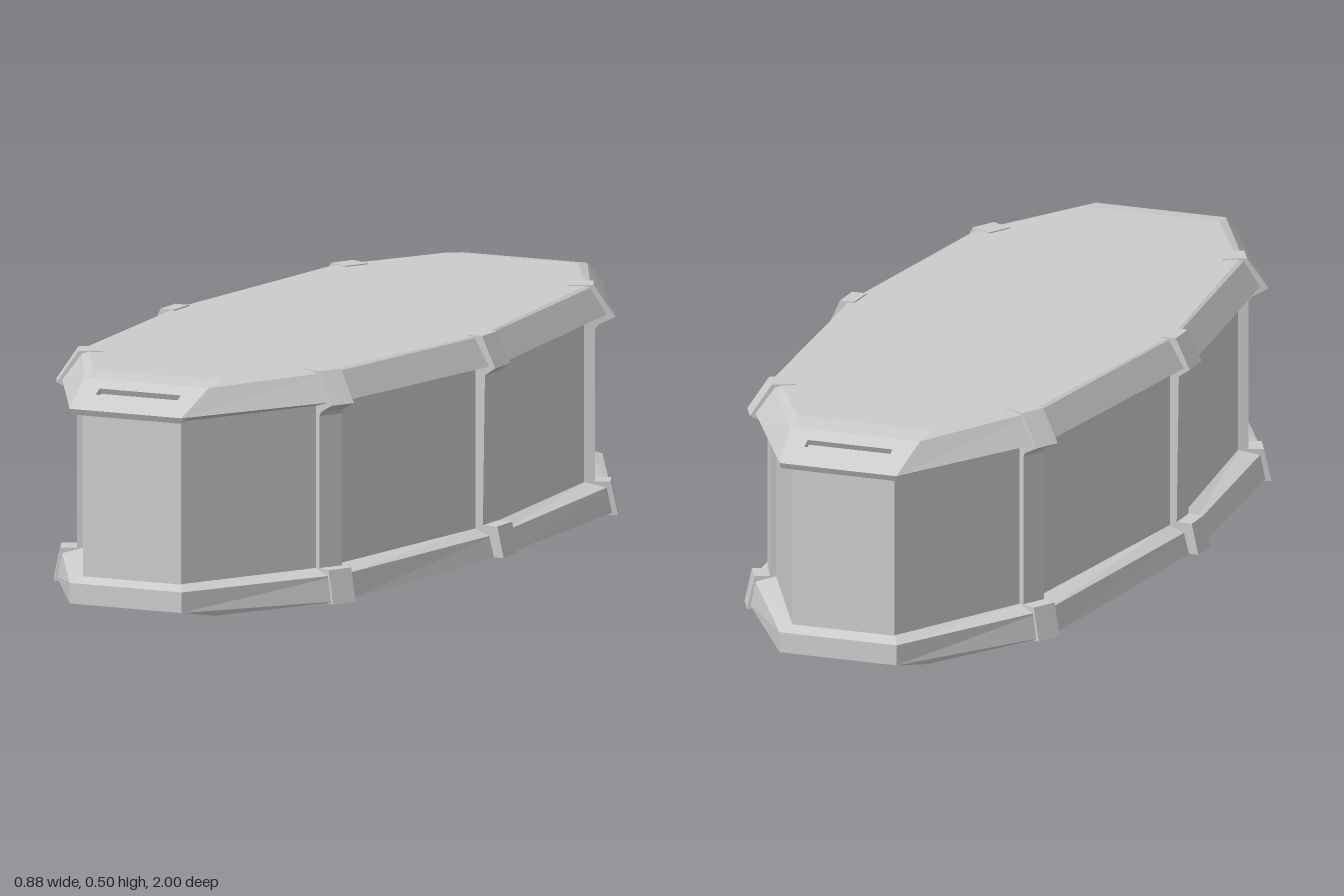
import * as THREE from 'three';

const mat = new THREE.MeshStandardMaterial({ color: 0xcccccc, flatShading: true });

// Ten-sided outline from an end corner, a shoulder and a waist point, mirrored on both axes
function ring([e, c, m]) {
  const back = ([x, y, z]) => [x, y, -z];
  const side = [e, c, m, back(c), back(e)];
  return [...side, ...side.map(([x, y, z]) => [-x, y, z]).reverse()];
}

// Skin a stack of outlines from bottom to top; openEnds lists the bands without end faces
function loft(name, sections, { capBottom, capTop, openEnds = [] } = {}) {
  const rings = sections.map(ring);
  const pos = [];
  const tri = (a, b, c) => pos.push(...a, ...b, ...c);
  for (let k = 0; k < rings.length - 1; k++) {
    for (let i = 0; i < 10; i++) {
      if (openEnds.includes(k) && (i === 4 || i === 9)) continue;
      const j = (i + 1) % 10, a = rings[k], b = rings[k + 1];
      tri(a[i], a[j], b[j]);
      tri(a[i], b[j], b[i]);
    }
  }
  const cap = (r, y, flip) => {
    for (let i = 0; i < 10; i++) {
      const j = (i + 1) % 10;
      tri([0, y, 0], r[flip ? j : i], r[flip ? i : j]);
    }
  };
  if (capBottom !== undefined) cap(rings[0], capBottom, true);
  if (capTop !== undefined) cap(rings[rings.length - 1], capTop, false);
  const geo = new THREE.BufferGeometry();
  geo.setAttribute('position', new THREE.Float32BufferAttribute(pos, 3));
  geo.computeVertexNormals();
  const mesh = new THREE.Mesh(geo, mat);
  mesh.name = name;
  return mesh;
}

// Vertical strap: a side profile (distance outward, height) given a width and turned outward
function rib(name, profile, width, angle, offset) {
  const shape = new THREE.Shape(profile.map(([r, y]) => new THREE.Vector2(r, y)));
  const geo = new THREE.ExtrudeGeometry(shape, { depth: width, bevelEnabled: false });
  geo.translate(0, 0, offset - width / 2);
  const mesh = new THREE.Mesh(geo, mat);
  mesh.rotation.y = -angle;
  mesh.name = name;
  return mesh;
}

// Sloping end of the lid with a recessed slot
function endPanel(name) {
  const rise = 0.052, run = 0.1, len = Math.hypot(rise, run);
  const shape = new THREE.Shape([[-0.135, 0], [0.135, 0], [0.15, len], [-0.15, len]]
    .map(([x, y]) => new THREE.Vector2(x, y)));
  shape.holes.push(new THREE.Path([[-0.098, 0.057], [-0.098, 0.079], [0.098, 0.079], [0.098, 0.057]]
    .map(([x, y]) => new THREE.Vector2(x, y))));
  const geo = new THREE.ExtrudeGeometry(shape, { depth: 0.015, bevelEnabled: false });
  geo.translate(0, 0, -0.015);
  const plate = new THREE.Mesh(geo, mat);
  plate.name = 'lidEndPlate';
  const floor = new THREE.Mesh(new THREE.BoxGeometry(0.21, 0.034, 0.004), mat);
  floor.position.set(0, 0.068, -0.016);
  floor.name = 'slotFloor';
  const slope = new THREE.Group();
  slope.add(plate, floor);
  slope.position.set(0, 0.44, 1);
  slope.rotation.x = -Math.atan2(run, rise);
  const group = new THREE.Group();
  group.add(slope);
  group.name = name;
  return group;
}

export function createModel() {
  const model = new THREE.Group();
  model.name = 'casket';

  // Flared plinth with a chamfered underside at the ends
  model.add(loft('base', [
    [[0.175, 0, 0.92], [0.33, 0, 0.6], [0.4, 0.017, 0.03]],
    [[0.135, 0.015, 1], [0.35, 0.004, 0.64], [0.422, 0.017, 0.03]],
    [[0.135, 0.06, 1], [0.34, 0.06, 0.635], [0.41, 0.063, 0.03]],
    [[0.119, 0.072, 0.968], [0.295, 0.072, 0.62], [0.375, 0.078, 0.03]],
  ], { capBottom: 0.012 }));

  // Upright walls
  model.add(loft('walls', [0.06, 0.435].map((y) =>
    [[0.118, y, 0.97], [0.295, y, 0.622], [0.378, y, 0.03]])));

  // Overhanging lid with bevelled rim
  model.add(loft('lid', [
    [[0.117, 0.426, 0.965], [0.293, 0.425, 0.62], [0.375, 0.422, 0.03]],
    [[0.135, 0.44, 1], [0.34, 0.438, 0.635], [0.41, 0.432, 0.03]],
    [[0.15, 0.492, 0.9], [0.31, 0.496, 0.6], [0.375, 0.492, 0.03]],
    [[0.158, 0.5, 0.84], [0.303, 0.5, 0.585], [0.37, 0.495, 0.03]],
  ], { capTop: 0.496, openEnds: [1] }));

  const frontPanel = endPanel('frontLidPanel');
  const backPanel = endPanel('backLidPanel');
  backPanel.rotation.y = Math.PI;
  model.add(frontPanel, backPanel);

  // Straps wrapping lid, wall and base at the shoulders and the waist
  const corner = [[0.5, 0.502], [0.553, 0.502], [0.6, 0.433], [0.563, 0.415], [0.556, 0.405],
    [0.556, 0.073], [0.59, 0.073], [0.606, 0], [0.5, 0]];
  const waist = [[0.355, 0.498], [0.388, 0.498], [0.42, 0.43], [0.395, 0.413],
    [0.39, 0.085], [0.425, 0.085], [0.44, 0.017], [0.355, 0.017]];
  const a = 0.467;
  [['frontLeft', a, 1], ['backLeft', -a, -1], ['frontRight', Math.PI - a, -1], ['backRight', Math.PI + a, 1]]
    .forEach(([n, angle, s]) => model.add(rib(n + 'Strap', corner, 0.06, angle, 0.423 * s)));
  model.add(rib('leftWaistStrap', waist, 0.07, 0, 0.035));
  model.add(rib('rightWaistStrap', waist, 0.07, Math.PI, -0.035));

  return model;
}
